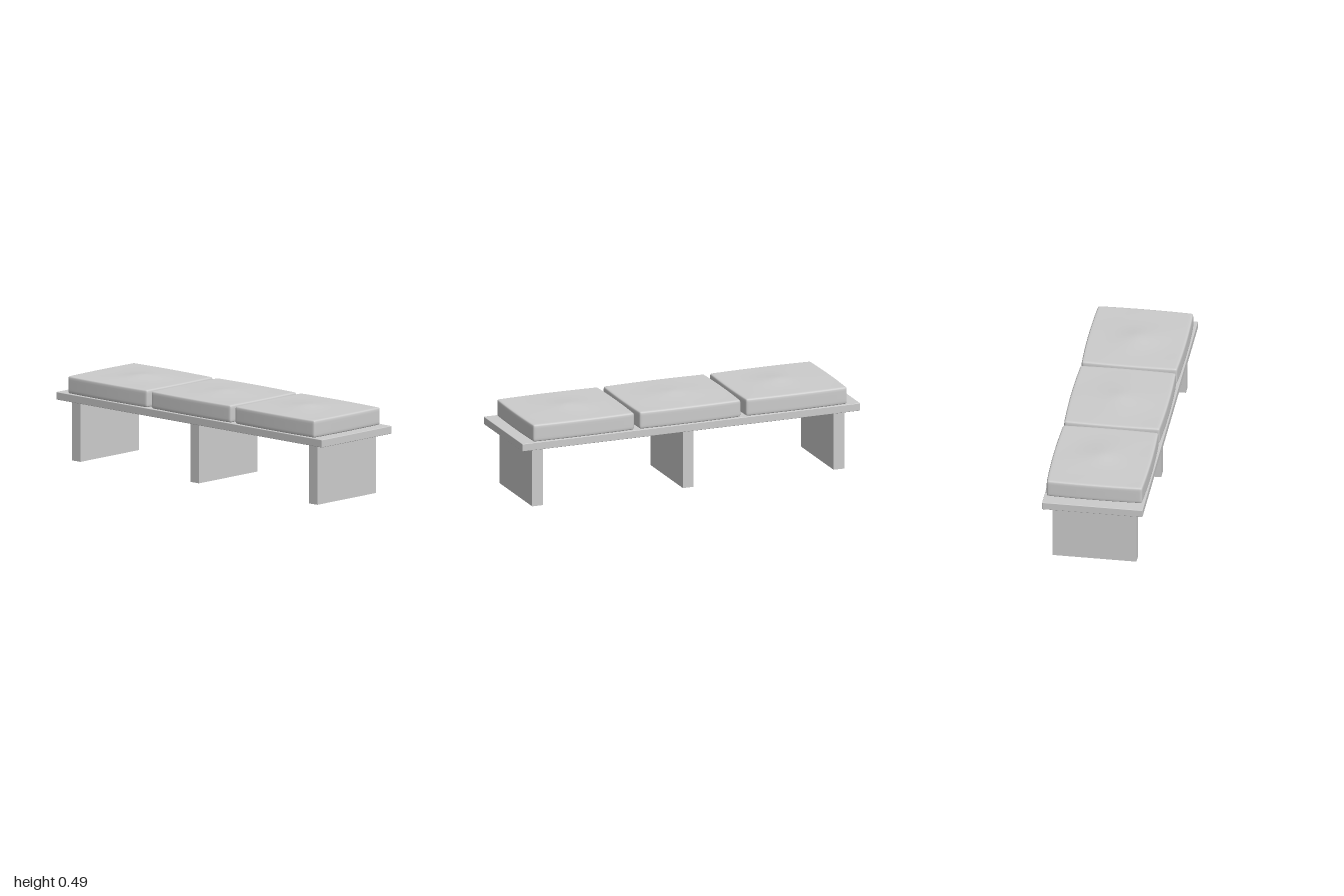
import * as THREE from 'three';
import { mergeVertices } from 'three/addons/utils/BufferGeometryUtils.js';
import { RoundedBoxGeometry } from 'three/addons/geometries/RoundedBoxGeometry.js';

const HALF = new THREE.Vector3(0.299, 0.0485, 0.264); // cushion half size before bulging
const RADIUS = 0.012;

// Soft pad: a rounded box with bowed sides, a crowned top and faint wrinkles
function cushionGeometry(seed) {
  const box = new THREE.BoxGeometry(2, 2, 2, 36, 10, 36);
  box.deleteAttribute('normal');
  box.deleteAttribute('uv');
  const geometry = mergeVertices(box);
  const pos = geometry.attributes.position;
  const inner = HALF.clone().subScalar(RADIUS);
  const p = new THREE.Vector3();
  const core = new THREE.Vector3();

  for (let i = 0; i < pos.count; i++) {
    // Crowd the grid toward the edges, then round them
    p.fromBufferAttribute(pos, i);
    p.set(...p.toArray().map((v) => Math.sin((v * Math.PI) / 2))).multiply(HALF);
    core.copy(p).clamp(inner.clone().negate(), inner);
    p.sub(core).setLength(RADIUS).add(core);

    // Bow the sides outward at their middles
    const u = p.x / HALF.x;
    const v = p.z / HALF.z;
    const w = p.y / HALF.y;
    const x = p.x + u * 0.006 * (1 - v * v);
    const z = p.z + v * 0.008 * (1 - u * u);

    // Crown and wrinkle only the top
    const top = THREE.MathUtils.smoothstep(w, 0, 1);
    const r = Math.hypot(p.x, p.z);
    const crown = 0.0125 * Math.exp(-Math.pow(r / 0.1, 1.5));
    const fade = (1 - u * u) * (1 - v * v);
    const wrinkle = 0.0015 * fade * Math.sin(5 * u + seed) * Math.cos(4 * v + 2 * seed);
    pos.setXYZ(i, x, p.y + top * (crown + wrinkle + 0.002 * fade), z);
  }
  geometry.computeVertexNormals();
  return geometry;
}

export function createModel() {
  const group = new THREE.Group();
  const grey = new THREE.MeshStandardMaterial({ color: 0xcccccc });
  grey.name = 'light grey';

  const add = (name, geometry, x, y) => {
    const mesh = new THREE.Mesh(geometry, grey);
    mesh.name = name;
    mesh.position.set(x, y, 0);
    group.add(mesh);
  };

  // Seat board
  add('seatBoard', new RoundedBoxGeometry(2, 0.043, 0.556, 3, 0.003), 0, 0.3565);

  // Panel legs and the cushions above them
  const sides = ['right', 'middle', 'left'];
  sides.forEach((side, i) => {
    add(`${side}Leg`, new THREE.BoxGeometry(0.063, 0.336, 0.466), (i - 1) * 0.892, 0.168);
    add(`${side}Cushion`, cushionGeometry(i * 1.7), (i - 1) * 0.63, 0.4255);
  });
  return group;
}
